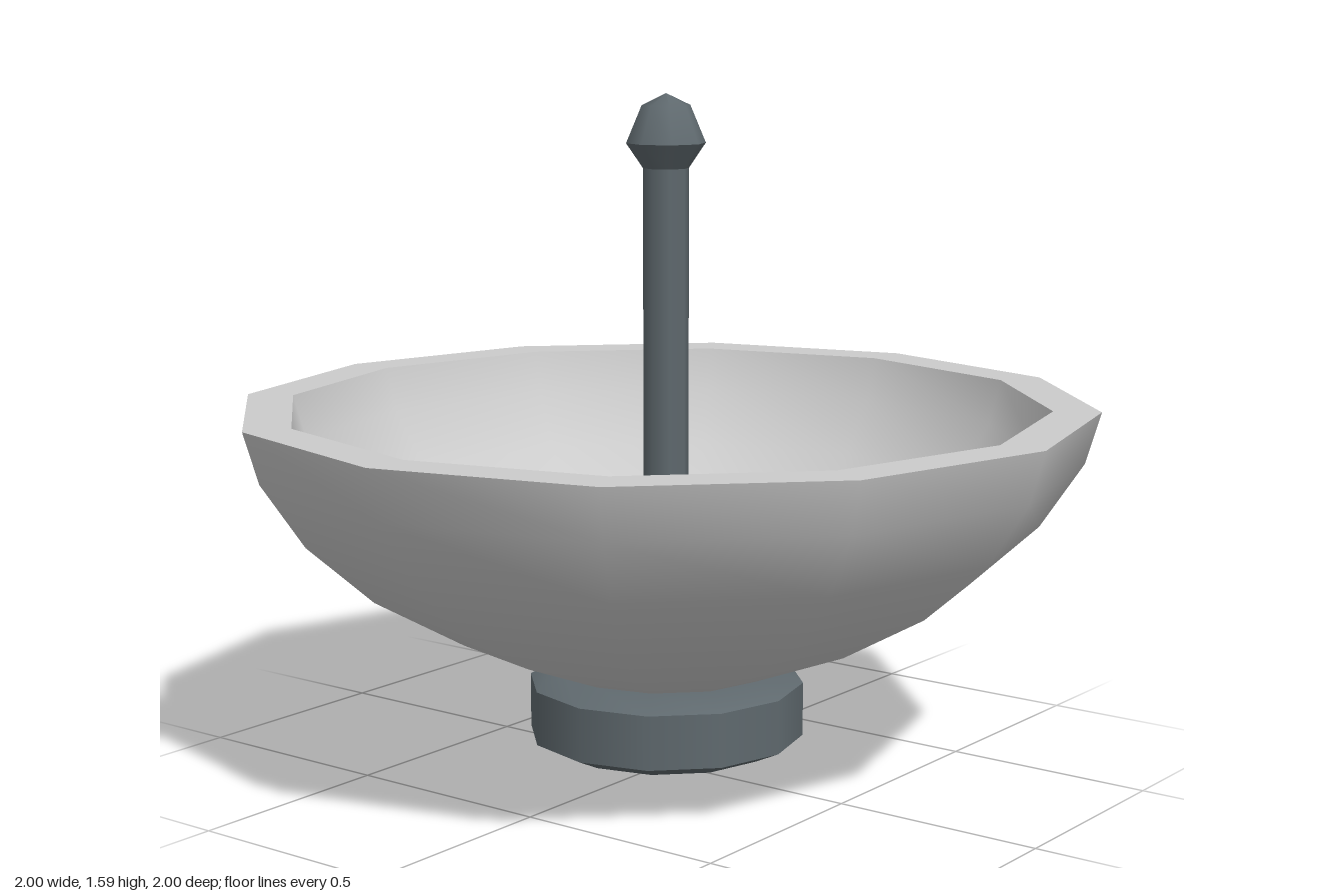
import * as THREE from 'three';

const grey = new THREE.MeshStandardMaterial({ color: 0xcccccc });
const metal = new THREE.MeshStandardMaterial({ color: 0x5f696e });

// Turned part: each profile is smooth in itself and meets the next at a sharp edge
function turned(name, sides, material, profiles) {
  const part = new THREE.Group();
  part.name = name;
  profiles.forEach((profile, i) => {
    const points = profile.map(([r, y]) => new THREE.Vector2(r, y));
    const mesh = new THREE.Mesh(new THREE.LatheGeometry(points, sides), material);
    mesh.name = `${name}Surface${i + 1}`;
    part.add(mesh);
  });
  return part;
}

export function createModel() {
  const model = new THREE.Group();
  model.name = 'basin';

  // Thick-walled bowl: outside, flat rim, inside
  const outer = [[0, 0.22], [0.26, 0.245], [0.5, 0.34], [0.71, 0.46], [0.865, 0.6], [0.965, 0.75], [1, 0.87]];
  const inner = [[0.89, 0.87], [0.86, 0.765], [0.77, 0.635], [0.63, 0.51], [0.445, 0.41], [0.23, 0.345], [0, 0.33]];
  model.add(turned('bowl', 12, grey, [outer, [[1, 0.87], [0.89, 0.87]], inner]));

  // Collar under the bowl with a shallow pointed underside
  model.add(turned('base', 12, metal, [
    [[0, 0], [0.26, 0.053], [0.325, 0.083]],
    [[0.325, 0.083], [0.325, 0.21]],
    [[0.325, 0.21], [0.26, 0.245], [0, 0.245]],
  ]));

  // Eight-sided boss at the bottom of the bowl
  model.add(turned('boss', 8, metal, [
    [[0.14, 0.3], [0.14, 0.465]],
    [[0.14, 0.465], [0, 0.465]],
  ]));

  // Central rod and its faceted knob
  model.add(turned('rod', 8, metal, [[[0.053, 0.45], [0.053, 1.42]]]));
  model.add(turned('knob', 8, metal, [
    [[0.053, 1.415], [0.092, 1.472]],
    [[0.092, 1.472], [0.056, 1.558], [0, 1.585]],
  ]));

  return model;
}
